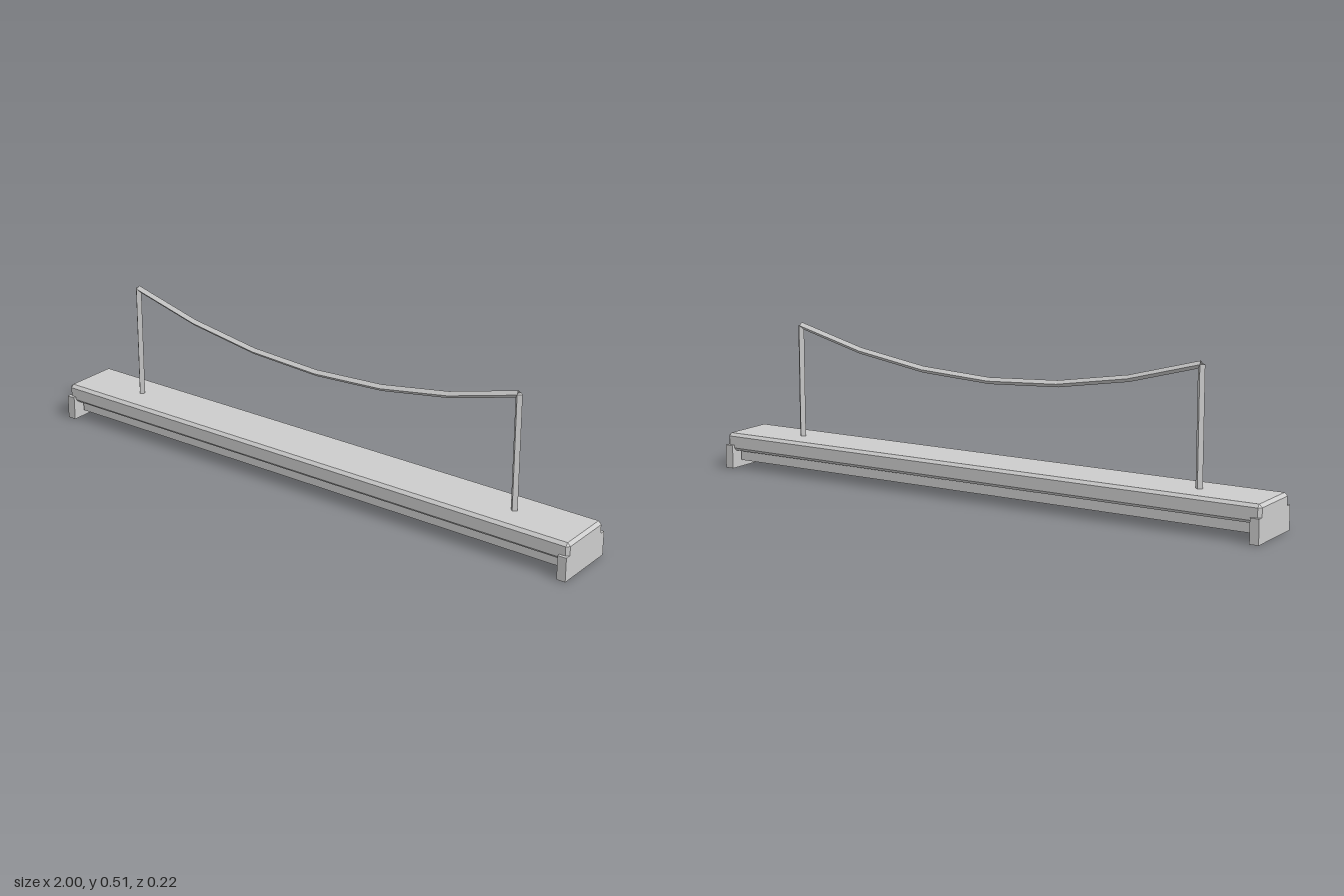
import * as THREE from 'three';
import { ConvexGeometry } from 'three/addons/geometries/ConvexGeometry.js';

// Box with every edge cut at 45 degrees
function chamferedBox(w, h, d, c) {
  const half = [w / 2, h / 2, d / 2];
  const points = [];
  for (const sx of [-1, 1]) for (const sy of [-1, 1]) for (const sz of [-1, 1]) {
    for (let full = 0; full < 3; full++) {
      const p = half.map((v, i) => (i === full ? v : v - c));
      points.push(new THREE.Vector3(p[0] * sx, p[1] * sy, p[2] * sz));
    }
  }
  return new ConvexGeometry(points);
}

export function createModel() {
  const model = new THREE.Group();
  const grey = new THREE.MeshStandardMaterial({ color: 0xcccccc, flatShading: true, side: THREE.DoubleSide });
  grey.name = 'light grey';

  function add(name, geometry, x, y, z) {
    const mesh = new THREE.Mesh(geometry, grey);
    mesh.name = name;
    mesh.position.set(x, y, z);
    model.add(mesh);
  }

  // Deck slab
  add('deck', chamferedBox(2, 0.06, 0.2, 0.01), 0, 0.09, 0);

  for (const s of [-1, 1]) {
    // End supports, beams under the deck and four-sided posts
    add('endSupport', new THREE.BoxGeometry(0.03, 0.08, 0.22), s * 0.985, 0.04, 0);
    add('beam', new THREE.BoxGeometry(1.92, 0.045, 0.05), 0, 0.0475, s * 0.05);
    add('post', new THREE.CylinderGeometry(0.012, 0.012, 0.4, 4), s * 0.75, 0.3, 0);
  }

  // Sagging cable, an open four-sided tube
  const sag = new THREE.QuadraticBezierCurve3(
    new THREE.Vector3(-0.75, 0.5, 0),
    new THREE.Vector3(0, 0.26, 0),
    new THREE.Vector3(0.75, 0.5, 0)
  );
  add('cable', new THREE.TubeGeometry(sag, 6, 0.011, 4), 0, 0, 0);

  return model;
}
